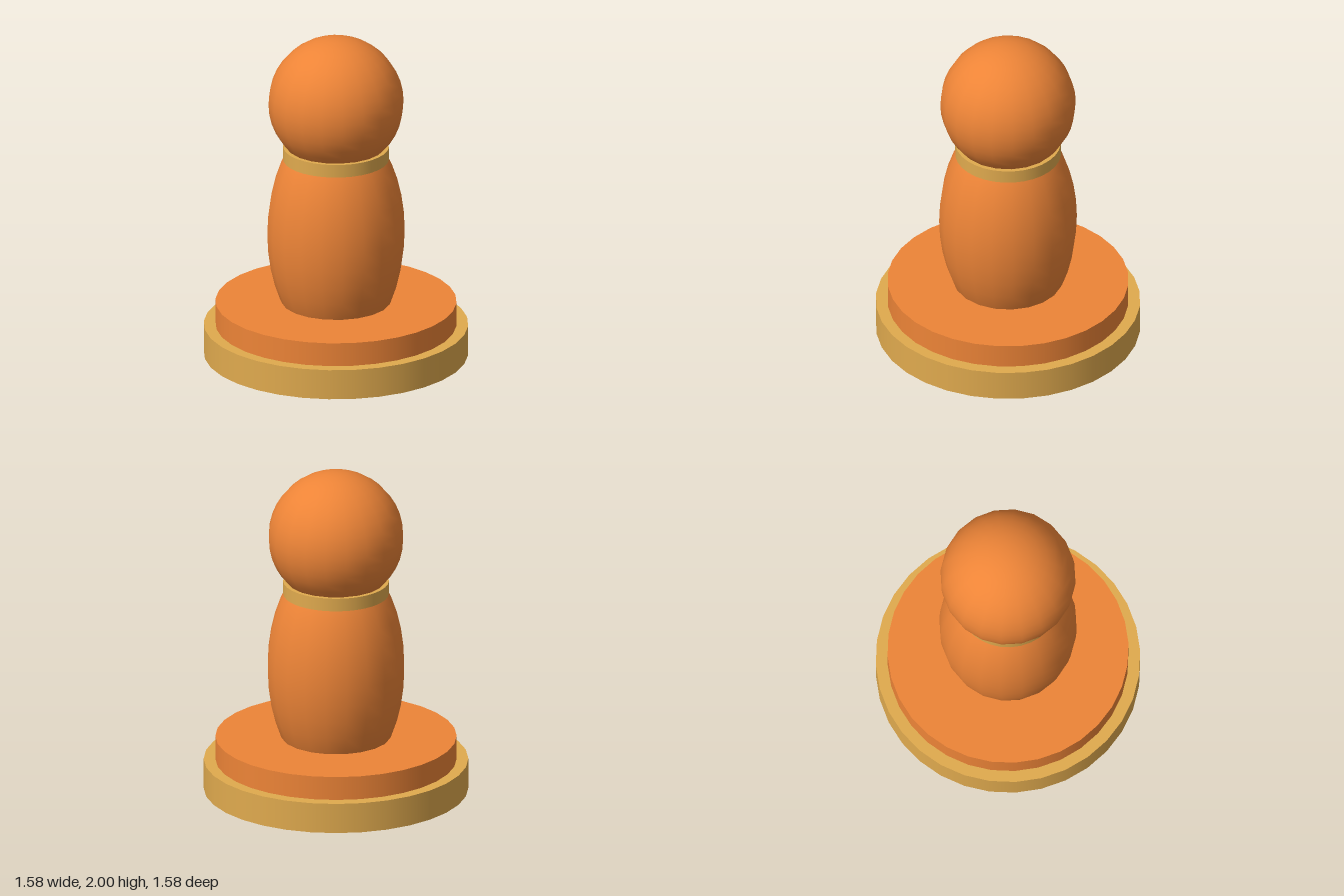
import * as THREE from 'three';

export function createModel() {
  const group = new THREE.Group();
  const orange = new THREE.MeshStandardMaterial({ color: 0xed8437 });
  const gold = new THREE.MeshStandardMaterial({ color: 0xe0aa4e });

  function add(name, geometry, material, y) {
    const mesh = new THREE.Mesh(geometry, material);
    mesh.name = name;
    mesh.position.y = y;
    group.add(mesh);
    return mesh;
  }

  // Upright disc spanning bottom..top
  function disc(name, radius, bottom, top, material) {
    const geometry = new THREE.CylinderGeometry(radius, radius, top - bottom, 32);
    return add(name, geometry, material, (bottom + top) / 2);
  }

  // Stepped base
  disc('lowerBase', 0.79, 0, 0.185, gold);
  disc('upperBase', 0.72, 0.185, 0.33, orange);

  // Egg-shaped body, its ends sunk into the base and the head
  const body = add('body', new THREE.SphereGeometry(1, 20, 20), orange, 0.77);
  body.scale.set(0.412, 0.72, 0.412);

  // Neck ring and round head
  disc('collar', 0.316, 1.235, 1.315, gold);
  add('head', new THREE.SphereGeometry(0.405, 20, 20), orange, 1.595);

  return group;
}
